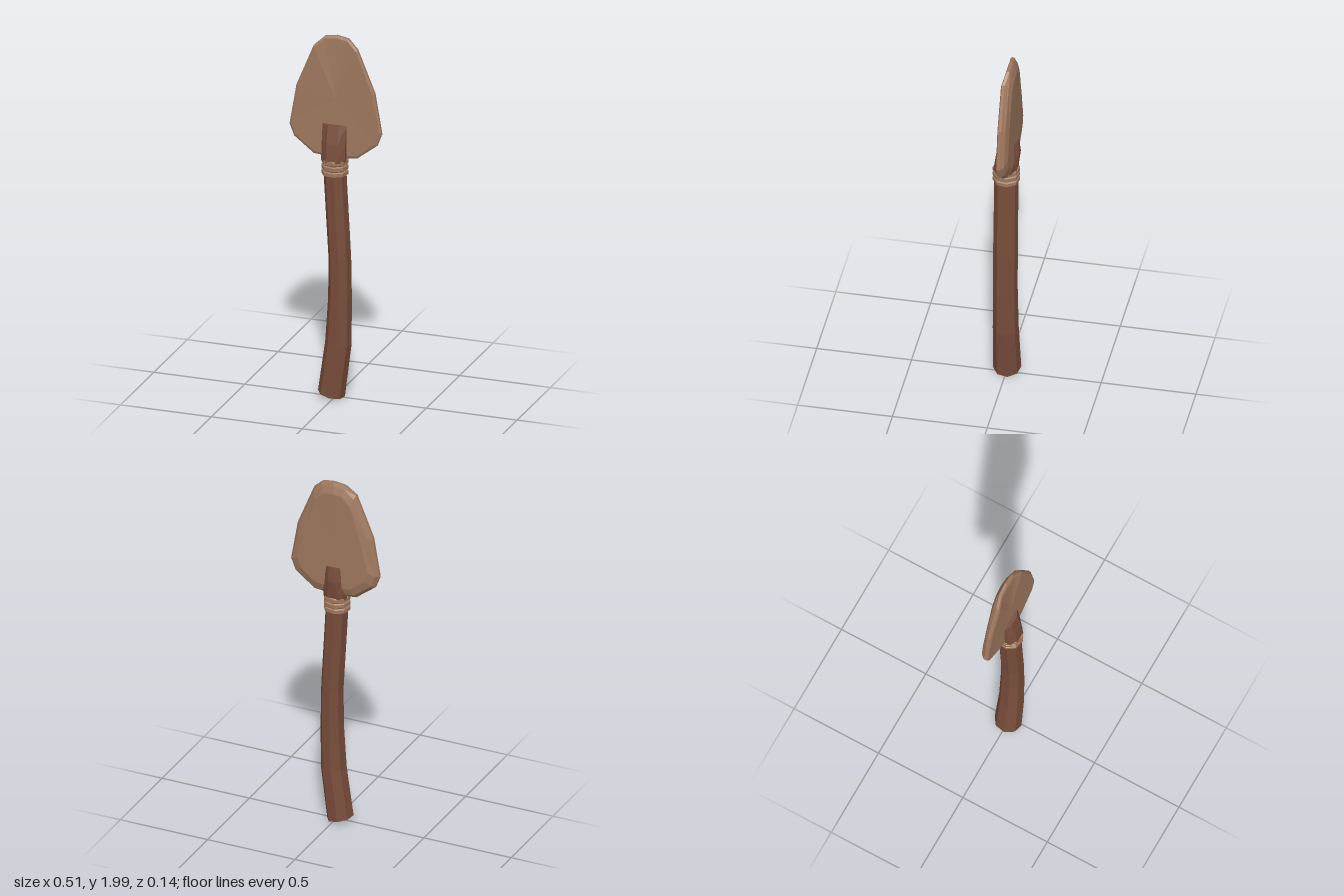
import * as THREE from 'three';

const V = (x, y, z) => new THREE.Vector3(x, y, z);
const wood = new THREE.MeshStandardMaterial({ color: 0x784d3a, flatShading: true });
const stone = new THREE.MeshStandardMaterial({ color: 0x9f785e, flatShading: true });

// Skin a list of equal-length rings (counterclockwise seen from the far end) and cap both ends.
function loft(name, rings, material) {
  const pos = [];
  const tri = (...pts) => pts.forEach(p => pos.push(p.x, p.y, p.z));
  const n = rings[0].length;
  const centre = ring => ring.reduce((s, p) => s.add(p), V(0, 0, 0)).divideScalar(n);
  const first = rings[0], last = rings[rings.length - 1];
  const c0 = centre(first), c1 = centre(last);
  for (let j = 0; j < n; j++) {
    const k = (j + 1) % n;
    for (let i = 0; i < rings.length - 1; i++) {
      const a = rings[i], b = rings[i + 1];
      tri(a[j], a[k], b[k]);
      tri(a[j], b[k], b[j]);
    }
    tri(c0, first[k], first[j]);
    tri(c1, last[j], last[k]);
  }
  const geo = new THREE.BufferGeometry();
  geo.setAttribute('position', new THREE.Float32BufferAttribute(pos, 3));
  geo.computeVertexNormals();
  const mesh = new THREE.Mesh(geo, material);
  mesh.name = name;
  return mesh;
}

// Eight-sided ring around the handle path; slope tilts it in x.
function octagon(x, y, r, slope = 0, rz = r) {
  return Array.from({ length: 8 }, (_, i) => {
    const t = (i / 8) * Math.PI * 2 + 0.2;
    const dx = Math.cos(t) * r;
    return V(x + dx, y + dx * slope, -Math.sin(t) * rz);
  });
}

// Half-round prong: side = 1 in front of the blade, -1 behind it.
// Each level is [y, half width, inner z, outer z].
function prong(name, side, levels) {
  return loft(name, levels.map(([y, w, zi, zo]) => {
    const mid = zi + (zo - zi) * 0.45;
    const ring = [[w, zi], [0, zi], [-w, zi], [-w, mid], [-w * 0.45, zo], [w * 0.45, zo], [w, mid]]
      .map(([x, z]) => V(x - 0.003, y, z * side));
    return side > 0 ? ring : ring.reverse();
  }), wood);
}

export function createModel() {
  const model = new THREE.Group();
  model.name = 'shovel';

  // Bent handle with a slightly hollowed foot
  model.add(loft('handle', [
    octagon(-0.02, 0.045, 0.05, -0.22),
    octagon(-0.022, 0.027, 0.056, -0.22),
    octagon(-0.022, 0.025, 0.07, -0.22, 0.073),
    octagon(0.016, 0.31, 0.069, -0.1, 0.067),
    octagon(0.025, 0.56, 0.062, 0, 0.064),
    octagon(0.024, 0.78, 0.059, 0.04, 0.064),
    octagon(-0.002, 1.24, 0.06, 0.03, 0.063),
    octagon(-0.003, 1.335, 0.064, 0, 0.062),
  ], wood));

  // Three cord turns binding the joint
  const binding = new THREE.Group();
  binding.name = 'binding';
  for (let i = 0; i < 3; i++) {
    const y = 1.24 + i * 0.031;
    binding.add(loft('cordTurn', [
      octagon(-0.003, y, 0.064), octagon(-0.003, y + 0.005, 0.071),
      octagon(-0.003, y + 0.024, 0.071), octagon(-0.003, y + 0.029, 0.064),
    ], stone));
  }
  model.add(binding);

  // Split end of the handle gripping the blade
  model.add(prong('frontProng', 1, [
    [1.32, 0.065, 0.006, 0.063], [1.42, 0.065, 0.0, 0.049], [1.515, 0.066, -0.01, 0.026],
  ]));
  model.add(prong('backProng', -1, [
    [1.32, 0.063, 0.01, 0.058], [1.36, 0.06, 0.025, 0.063],
    [1.43, 0.046, 0.035, 0.072], [1.51, 0.042, 0.035, 0.062],
  ]));

  // Leaf-shaped blade: flat front, broad bevel on the back
  const half = [[0.065, 1.99], [0.12, 1.94], [0.215, 1.71], [0.253, 1.49], [0.228, 1.425], [0.12, 1.342]];
  const outline = [[0, 2], ...half, [0, 1.33], ...half.map(([x, y]) => [-x, y]).reverse()];
  const bladeRing = (inset, z) => outline.map(([x, y]) => {
    const d = V(x, y - 1.63, 0);
    d.setLength(d.length() - inset);
    const tip = y > 1.98 ? -0.012 : 0;
    const scoop = y > 1.9 ? Math.max(0, 0.15 - Math.abs(x)) * -0.04 : 0;
    return V(d.x, d.y + 1.63, z + (z > -0.03 ? tip : 0) + scoop);
  });
  model.add(loft('blade', [
    bladeRing(0.012, 0.006), bladeRing(0, 0), bladeRing(0, -0.015),
    bladeRing(0.018, -0.035), bladeRing(0.06, -0.049),
  ], stone));

  return model;
}
